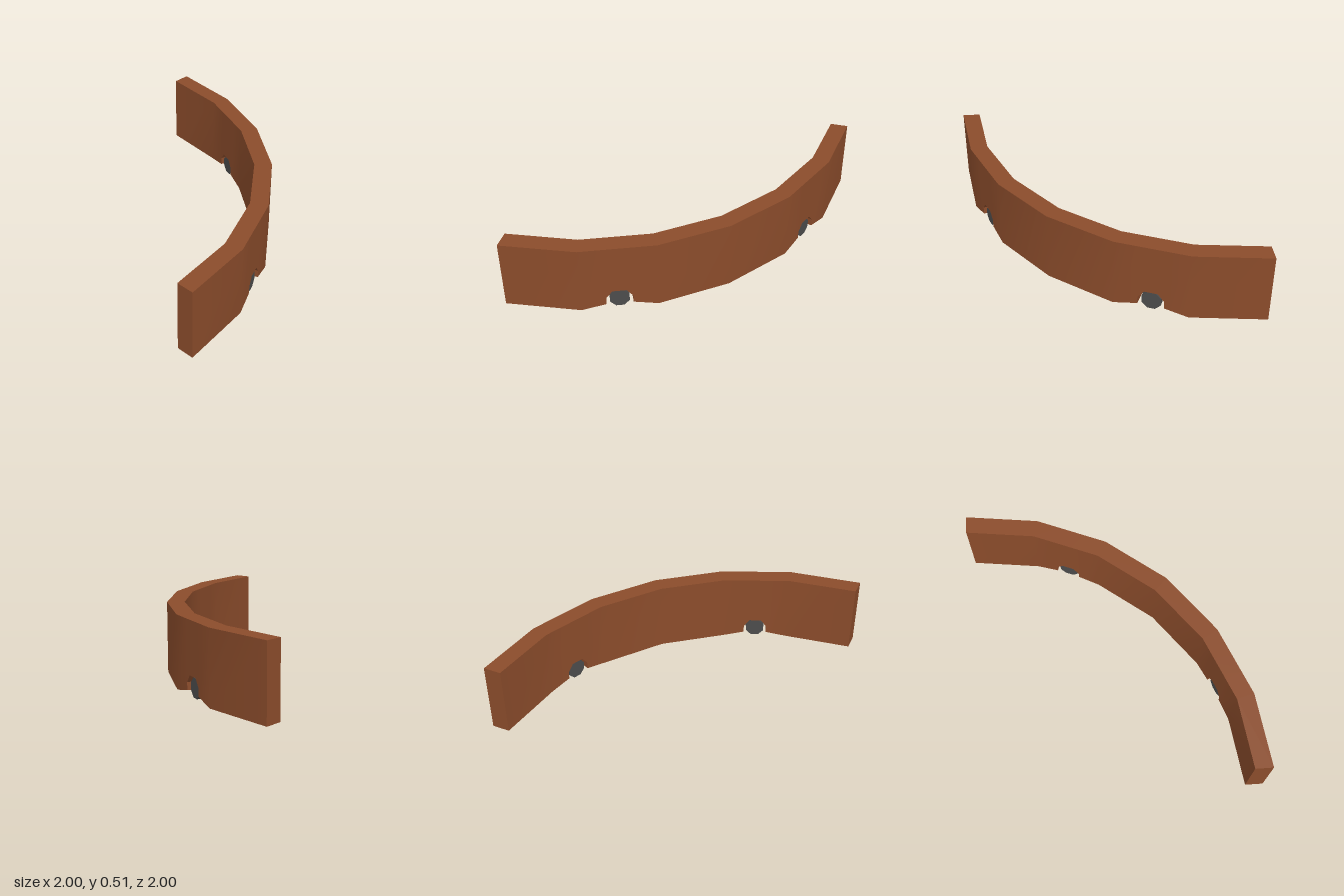
import * as THREE from 'three';
import { toCreasedNormals } from 'three/addons/utils/BufferGeometryUtils.js';

const HEIGHT = 0.51, OUTER = 2, INNER = 1.875, SEGMENTS = 6;
const STEP = Math.PI / 2 / SEGMENTS;
const ROLLER_SEGMENTS = [1, 4];

// Underside of a segment with a roller arch: [fraction along segment, height]
const ARCH = [
  [0, 0], [0.325, 0.035], [0.325, 0.09], [0.41, 0.145],
  [0.59, 0.145], [0.675, 0.09], [0.675, 0.035], [1, 0],
];
const PLAIN = [[0, 0], [1, 0]];

// Point on the quarter arc, whose centre is the back right corner
function arcPoint(radius, angle, y) {
  return new THREE.Vector3(radius * Math.sin(angle) - 1, y, radius * Math.cos(angle) - 1);
}

// Four corners of the wall's cross-section at a place along one straight segment
function section(segment, fraction, bottom) {
  const corner = (radius, y) => arcPoint(radius, segment * STEP, y)
    .lerp(arcPoint(radius, (segment + 1) * STEP, y), fraction);
  return [corner(OUTER, bottom), corner(OUTER, HEIGHT), corner(INNER, HEIGHT), corner(INNER, bottom)];
}

function wallGeometry() {
  const positions = [];
  const triangle = (a, b, c) => {
    const area = b.clone().sub(a).cross(c.clone().sub(a)).length();
    if (area > 1e-7) for (const p of [a, b, c]) positions.push(p.x, p.y, p.z);
  };
  const quad = (a, b, c, d) => { triangle(a, b, c); triangle(a, c, d); };

  const rings = [];
  for (let s = 0; s < SEGMENTS; s++) {
    const profile = ROLLER_SEGMENTS.includes(s) ? ARCH : PLAIN;
    profile.forEach(([f, y], i) => {
      if (s === 0 || i > 0) rings.push(section(s, f, y));
    });
  }
  for (let i = 0; i < rings.length - 1; i++) {
    const a = rings[i], b = rings[i + 1];
    for (let j = 0; j < 4; j++) {
      const k = (j + 1) % 4;
      quad(a[j], b[j], b[k], a[k]);
    }
  }
  // End caps
  quad(...rings[0]);
  quad(...rings[rings.length - 1].slice().reverse());

  const geometry = new THREE.BufferGeometry();
  geometry.setAttribute('position', new THREE.Float32BufferAttribute(positions, 3));
  return toCreasedNormals(geometry, 0.5);
}

export function createModel() {
  const group = new THREE.Group();
  group.name = 'curvedWall';

  const brown = new THREE.MeshStandardMaterial({ color: 0x8b4c2b });
  brown.name = 'brown';
  const darkGrey = new THREE.MeshStandardMaterial({ color: 0x4c4c4c });
  darkGrey.name = 'darkGrey';

  const wall = new THREE.Mesh(wallGeometry(), brown);
  wall.name = 'wall';
  group.add(wall);

  // Octagonal rollers, lying across the wall inside the arches
  const rollerGeometry = toCreasedNormals(
    new THREE.CylinderGeometry(0.072, 0.072, 0.092, 8).rotateY(Math.PI / 8).rotateX(Math.PI / 2), 0.5);
  for (const s of ROLLER_SEGMENTS) {
    const angle = (s + 0.5) * STEP;
    const roller = new THREE.Mesh(rollerGeometry, darkGrey);
    roller.name = 'roller';
    roller.position.copy(arcPoint(1.921, angle, 0.067));
    roller.rotation.y = angle;
    group.add(roller);
  }
  return group;
}
